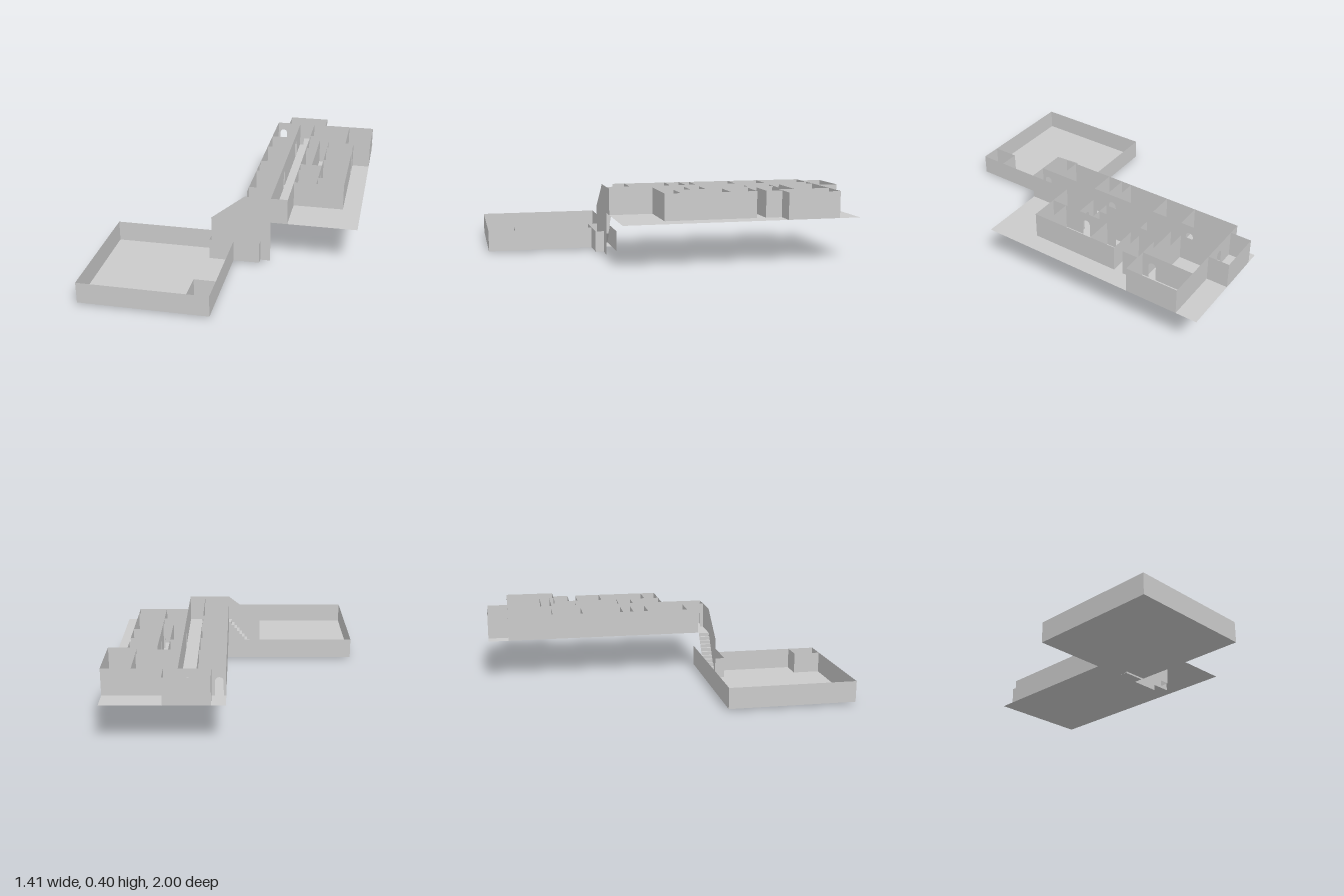
import * as THREE from 'three';

const material = new THREE.MeshStandardMaterial({ color: 0xcccccc, side: THREE.DoubleSide, flatShading: true });

function add(parent, name, geometry) {
  const mesh = new THREE.Mesh(geometry, material);
  mesh.name = name;
  parent.add(mesh);
  return mesh;
}

// Horizontal sheet
function floor(parent, name, x0, x1, z0, z1, y) {
  const g = new THREE.PlaneGeometry(x1 - x0, z1 - z0).rotateX(-Math.PI / 2);
  add(parent, name, g).position.set((x0 + x1) / 2, y, (z0 + z1) / 2);
}

// Thin upright wall from (x0,z0) to (x1,z1); doors are distances along it to arched openings
function wall(parent, name, [x0, z0, x1, z1], y, height, doors = []) {
  const length = Math.hypot(x1 - x0, z1 - z0);
  const r = 0.022, spring = 0.08;
  const s = new THREE.Shape();
  s.moveTo(0, 0);
  for (const d of doors) {
    s.lineTo(d - r, 0);
    s.lineTo(d - r, spring);
    s.absarc(d, spring, r, Math.PI, 0, true);
    s.lineTo(d + r, 0);
  }
  s.lineTo(length, 0);
  s.lineTo(length, height);
  s.lineTo(0, height);
  s.closePath();
  const mesh = add(parent, name, new THREE.ShapeGeometry(s, 8));
  mesh.position.set(x0, y, z0);
  mesh.rotation.y = -Math.atan2(z1 - z0, x1 - x0);
}

export function createModel() {
  const model = new THREE.Group();

  // Lower courtyard
  const yard = new THREE.Group();
  yard.name = 'lowerCourtyard';
  model.add(yard);
  const low = 0.01, lowH = 0.12;
  floor(yard, 'courtyardFloor', -0.71, 0.01, 0.275, 1, low);
  [
    [-0.71, 0.275, 0.18, 0.275], [-0.71, 0.275, -0.71, 1], [-0.71, 1, 0.01, 1], [0.01, 0.395, 0.01, 1],
    [-0.11, 0.845, 0.01, 0.845], [-0.11, 0.845, -0.11, 1],
    [-0.13, 0.395, 0.16, 0.395], [-0.13, 0.34, -0.13, 0.395], [0.16, 0.345, 0.16, 0.395],
  ].forEach((w) => wall(yard, 'courtyardWall', w, low, lowH));

  // Stair between the levels
  const stair = new THREE.Group();
  stair.name = 'stair';
  model.add(stair);
  const side = new THREE.Shape([
    [-0.13, 0], [0.215, 0], [0.215, 0.245], [0.31, 0.245], [0.31, 0.395], [0.065, 0.395], [-0.13, 0.245],
  ].map(([x, y]) => new THREE.Vector2(x, y)));
  add(stair, 'stairSideWall', new THREE.ShapeGeometry(side)).position.z = 0.34;
  const steps = 12, run = 0.195 / steps, rise = 0.235 / steps;
  for (let i = 0; i < steps; i++) {
    const x = -0.13 + i * run, y = low + i * rise;
    wall(stair, 'riser', [x, 0.277, x, 0.34], y, rise);
    floor(stair, 'tread', x, x + run, 0.277, 0.34, y + rise);
  }
  // Sloping underside of the lowest steps
  const slope = Math.atan2(rise, run);
  const soffit = add(stair, 'soffit', new THREE.PlaneGeometry(0.09, 0.063).rotateX(-Math.PI / 2));
  soffit.position.set(-0.095, 0.043, 0.308);
  soffit.rotation.z = slope;

  // Upper storey
  const upper = new THREE.Group();
  upper.name = 'upperStorey';
  model.add(upper);
  const y = 0.245, h = 0.15;
  floor(upper, 'upperFloor', 0.065, 0.705, -1, 0.34, y);

  // Outer walls
  [
    [[0.065, -0.88, 0.065, 0.275]],
    [[0.065, -0.88, 0.705, -0.88], [0.035, 0.197]],
    [[0.14, -1, 0.385, -1]], [[0.14, -1, 0.14, -0.88]], [[0.385, -1, 0.385, -0.88]],
    [[0.705, -0.88, 0.705, -0.58]], [[0.44, -0.58, 0.705, -0.58]],
    [[0.6, -0.58, 0.6, -0.487]], [[0.44, -0.487, 0.6, -0.487]],
    [[0.44, -0.434, 0.6, -0.434]], [[0.6, -0.434, 0.6, 0.09]], [[0.31, 0.09, 0.6, 0.09]],
  ].forEach(([w, doors]) => wall(upper, 'outerWall', w, y, h, doors));

  // Corridor walls with arched doorways
  wall(upper, 'corridorWall', [0.215, -0.88, 0.215, 0.34], y, h, [0.21, 0.72, 1.18]);
  wall(upper, 'corridorWall', [0.31, -0.88, 0.31, 0.34], y, h, [0.74]);

  // Cross walls of the small rooms along the corridor
  for (const z of [-0.615, -0.434, -0.19, -0.127, -0.037, 0.206]) {
    wall(upper, 'roomPartition', [0.065, z, 0.215, z], y, h);
  }

  // Partitions of the wide side
  [
    [[0.31, -0.67, 0.548, -0.67]], [[0.31, -0.608, 0.548, -0.608]], [[0.548, -0.88, 0.548, -0.58], [0.24]],
    [[0.44, -0.58, 0.44, 0.09], [0.22, 0.44]],
    [[0.38, -0.608, 0.38, -0.185]], [[0.31, -0.455, 0.38, -0.455]],
    [[0.31, -0.185, 0.44, -0.185], [0.1]], [[0.31, -0.095, 0.44, -0.095], [0.065]],
    [[0.44, -0.28, 0.6, -0.28]], [[0.44, 0, 0.6, 0]],
  ].forEach(([w, doors]) => wall(upper, 'innerPartition', w, y, h, doors));

  return model;
}
